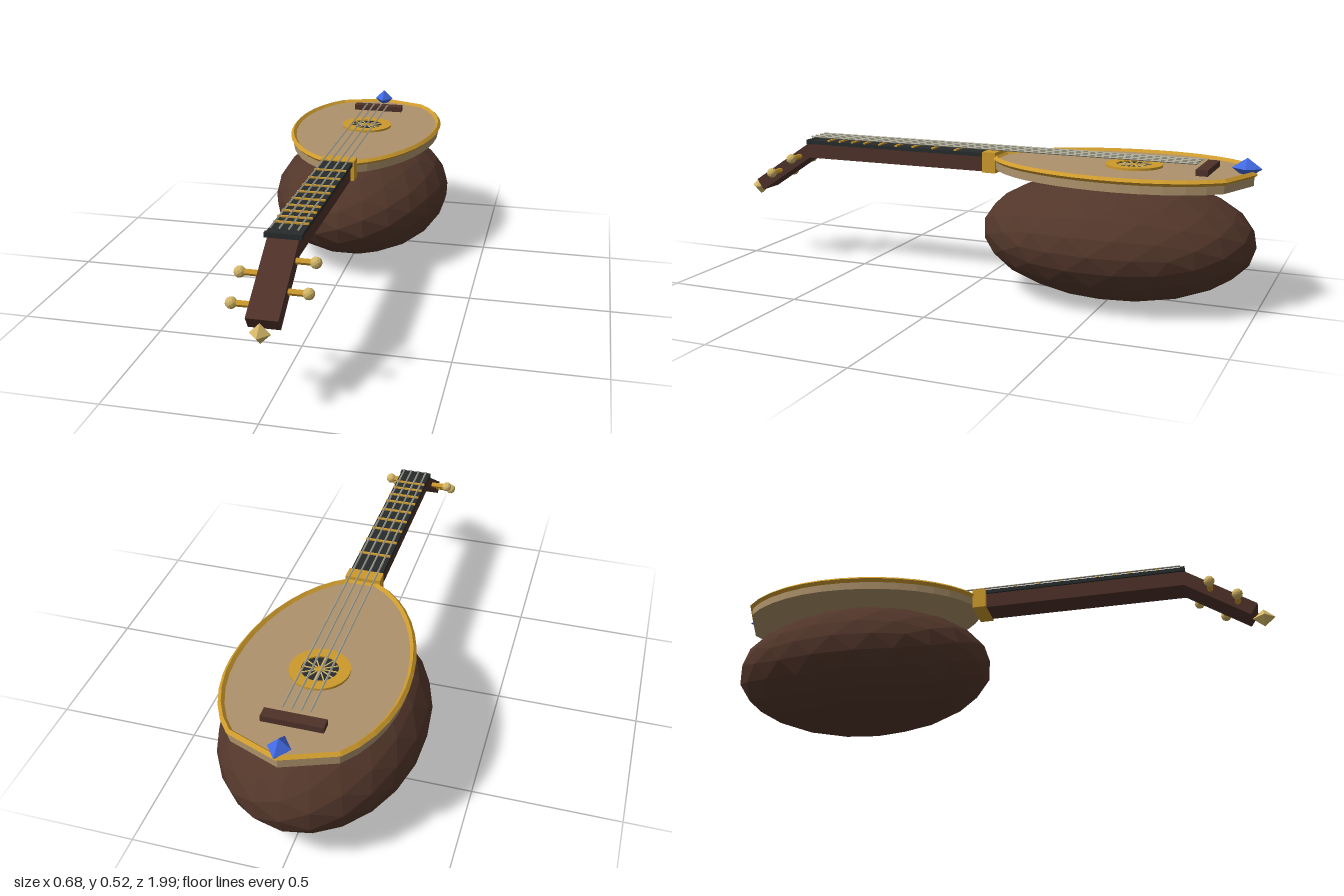
import * as THREE from 'three';

const mat = (name, color) => {
  const m = new THREE.MeshStandardMaterial({ color, flatShading: true });
  m.name = name;
  return m;
};

export function createModel() {
  const wood = mat('dark walnut', 0x52362a);
  const neckWood = mat('neck wood', 0x4e3128);
  const spruce = mat('soundboard tan', 0xad926b);
  const gold = mat('gold', 0xcd9a2c);
  const paleGold = mat('pale gold', 0xd2b566);
  const ebony = mat('ebony', 0x272b2b);
  const silver = mat('string silver', 0xa8a594);
  const blue = mat('blue gem', 0x4169e1);

  const model = new THREE.Group();
  const add = (name, geo, material, x = 0, y = 0, z = 0) => {
    const mesh = new THREE.Mesh(geo, material);
    mesh.name = name;
    mesh.position.set(x, y, z);
    model.add(mesh);
    return mesh;
  };
  const box = (name, w, h, d, material, x, y, z) =>
    add(name, new THREE.BoxGeometry(w, h, d), material, x, y, z);

  // Faceted bowl
  add('bowl', new THREE.IcosahedronGeometry(1, 3), wood, 0, 0.216, -0.503).scale.set(0.341, 0.216, 0.482);

  // Teardrop outline in x and z: pointed tail, shoulders, then the curve to the neck
  const V = (x, z) => new THREE.Vector2(x, z);
  const tail = new THREE.CubicBezierCurve(V(0.17, -0.9), V(0.24, -0.83), V(0.283, -0.7), V(0.283, -0.58));
  const flank = new THREE.CubicBezierCurve(V(0.283, -0.58), V(0.285, -0.36), V(0.19, -0.145), V(0.05, -0.07));
  const half = [...tail.getPoints(5), ...flank.getPoints(9).slice(1)];
  const outline = [V(0, -0.965), ...half, ...half.map((p) => V(-p.x, p.y)).reverse()];

  // Soundboard
  const board = new THREE.ExtrudeGeometry(new THREE.Shape(outline), { depth: 0.038, bevelEnabled: false });
  board.rotateX(Math.PI / 2);
  add('soundboard', board, spruce, 0, 0.463, 0);

  // Gold binding: diamond cross-section carried around the outline
  const n = outline.length, r = 0.0105, pos = [], idx = [];
  outline.forEach((p, i) => {
    const a = outline[(i + n - 1) % n], b = outline[(i + 1) % n];
    const d1 = p.clone().sub(a).normalize(), d2 = b.clone().sub(p).normalize();
    const t = d1.clone().add(d2).normalize();
    const miter = r / Math.max(0.6, t.dot(d1));
    for (const [out, up] of [[1, 0], [0, 1], [-1, 0], [0, -1]])
      pos.push(p.x + t.y * out * miter, 0.463 + up * r, p.y - t.x * out * miter);
    for (let k = 0; k < 4; k++) {
      const A = i * 4 + k, C = i * 4 + ((k + 1) % 4);
      const j = ((i + 1) % n) * 4;
      const B = j + k, D = j + ((k + 1) % 4);
      idx.push(A, C, B, C, D, B);
    }
  });
  const rim = new THREE.BufferGeometry();
  rim.setAttribute('position', new THREE.Float32BufferAttribute(pos, 3));
  rim.setIndex(idx);
  rim.computeVertexNormals();
  add('binding', rim, gold);

  // Rosette: gold ring, dark sound hole and lattice spokes
  const ringShape = new THREE.Shape().absarc(0, 0, 0.098, 0, Math.PI * 2);
  ringShape.holes.push(new THREE.Path().absarc(0, 0, 0.06, 0, Math.PI * 2, true));
  const ring = new THREE.ExtrudeGeometry(ringShape, { depth: 0.009, bevelEnabled: false, curveSegments: 24 });
  ring.rotateX(Math.PI / 2);
  add('rosetteRing', ring, gold, 0, 0.471, -0.56);
  add('soundHole', new THREE.CylinderGeometry(0.061, 0.061, 0.003, 24), ebony, 0, 0.465, -0.56);
  for (let i = 0; i < 6; i++)
    box('rosetteSpoke', 0.116, 0.003, 0.004, paleGold, 0, 0.4675, -0.56).rotation.y = (i * Math.PI) / 6;
  add('rosetteCentre', new THREE.CylinderGeometry(0.013, 0.013, 0.004, 12), gold, 0, 0.468, -0.56);

  // Bridge and tail gem
  box('bridge', 0.2, 0.022, 0.04, neckWood, 0, 0.473, -0.812);
  add('tailGem', new THREE.OctahedronGeometry(1), blue, 0, 0.482, -0.94).scale.set(0.037, 0.035, 0.05);

  // Neck, fingerboard, collar and frets
  box('neck', 0.1, 0.056, 0.765, neckWood, 0, 0.44, 0.3225);
  box('fingerboard', 0.114, 0.014, 0.765, ebony, 0, 0.473, 0.32);
  box('nut', 0.12, 0.017, 0.016, ebony, 0, 0.4735, 0.698);
  box('neckCollar', 0.124, 0.074, 0.05, gold, 0, 0.447, -0.047);
  for (const z of [0.087, 0.177, 0.257, 0.325, 0.394, 0.458, 0.51, 0.563, 0.611])
    box('fret', 0.114, 0.006, 0.009, gold, 0, 0.482, z);

  // Strings
  for (const x of [-0.044, -0.015, 0.015, 0.044]) {
    const string = new THREE.CylinderGeometry(0.0035, 0.0035, 1.475, 4);
    string.rotateX(Math.PI / 2);
    add('string', string, silver, x, 0.493, -0.047);
  }

  // Headstock tilted down, with finial
  const tilt = 0.58;
  box('headstock', 0.1, 0.048, 0.29, neckWood, 0, 0.369, 0.809).rotation.x = tilt;
  const finial = add('finial', new THREE.OctahedronGeometry(1), paleGold, 0, 0.275, 0.961);
  finial.scale.set(0.033, 0.033, 0.039);

  // Pegs, staggered on the two sides
  for (const [side, y, z] of [[1, 0.414, 0.743], [-1, 0.383, 0.788], [1, 0.353, 0.833], [-1, 0.322, 0.878]]) {
    const shaft = new THREE.CylinderGeometry(0.01, 0.01, 0.07, 6);
    shaft.rotateZ(Math.PI / 2);
    add('pegShaft', shaft, gold, side * 0.075, y, z);
    add('pegKnob', new THREE.IcosahedronGeometry(0.019, 1), paleGold, side * 0.112, y, z);
  }

  return model;
}
